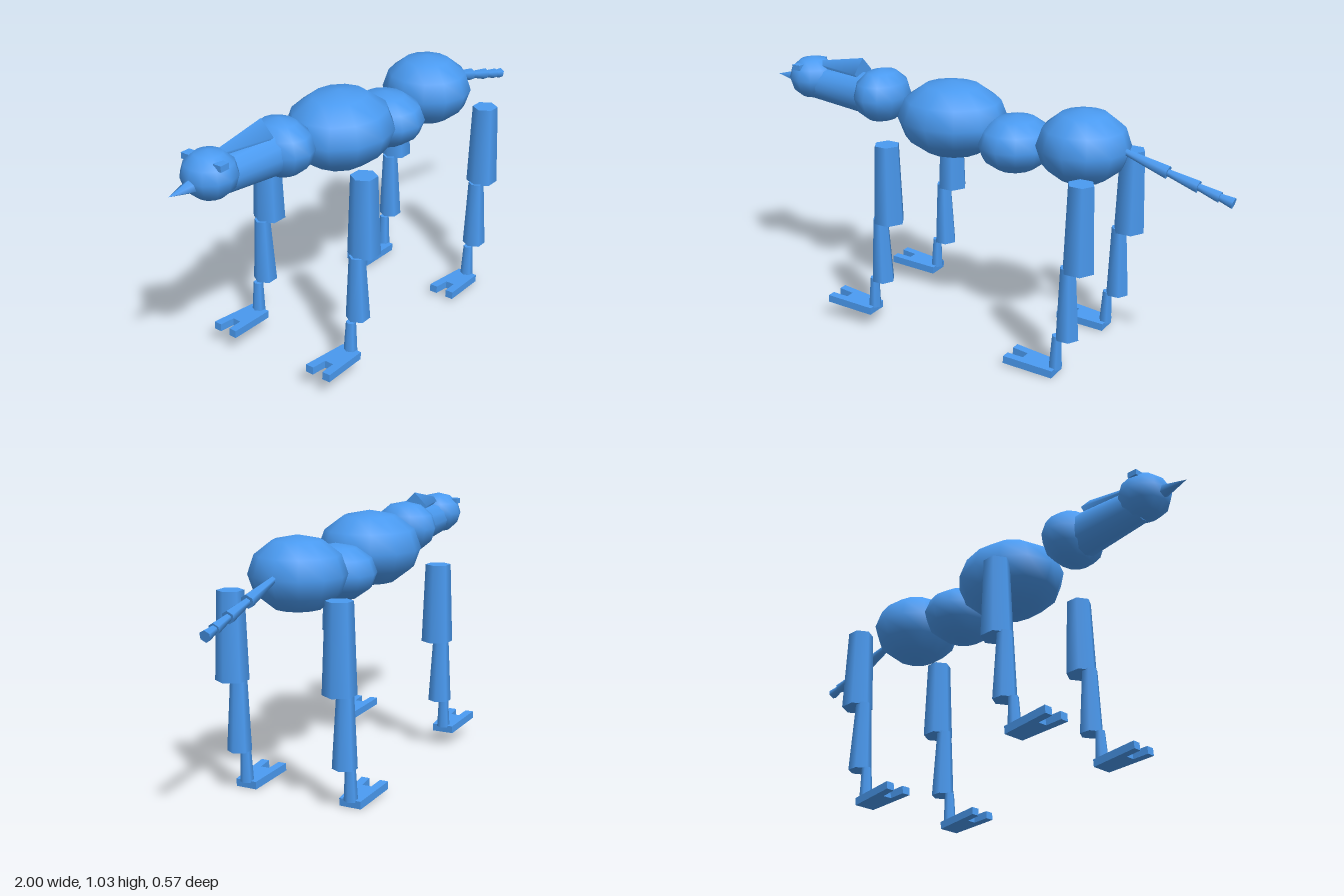
import * as THREE from 'three';

const material = new THREE.MeshStandardMaterial({ color: 0x4a9af0, side: THREE.DoubleSide });

function add(parent, name, geometry, x = 0, y = 0, z = 0) {
  const mesh = new THREE.Mesh(geometry, material);
  mesh.name = name;
  mesh.position.set(x, y, z);
  parent.add(mesh);
  return mesh;
}

// Low-poly ellipsoid given its centre and three radii
function ball(parent, name, x, y, rx, ry, rz) {
  add(parent, name, new THREE.SphereGeometry(1, 12, 6), x, y).scale.set(rx, ry, rz);
}

// Tapered tube from point a (radius ra) to point b (radius rb), both [x, y] at depth z
function taper(parent, name, a, b, ra, rb, z = 0, sides = 6, turn = Math.PI / 2) {
  const dx = b[0] - a[0], dy = b[1] - a[1];
  const geometry = new THREE.CylinderGeometry(rb, ra, Math.hypot(dx, dy), sides);
  geometry.rotateY(turn);
  const mesh = add(parent, name, geometry, (a[0] + b[0]) / 2, (a[1] + b[1]) / 2, z);
  mesh.rotation.z = Math.atan2(dy, dx) - Math.PI / 2;
  return mesh;
}

// Flat two-toed foot, heel at the origin, toes towards -x
function footGeometry() {
  const outline = [[0, -0.043], [0, 0.043], [-0.2, 0.055], [-0.2, 0.022],
    [-0.135, 0.018], [-0.135, -0.018], [-0.2, -0.022], [-0.2, -0.055]];
  const shape = new THREE.Shape(outline.map(([x, z]) => new THREE.Vector2(x, z)));
  const geometry = new THREE.ExtrudeGeometry(shape, { depth: 0.03, bevelEnabled: false });
  return geometry.rotateX(-Math.PI / 2);
}

function leg(name, x, z, top, knee, ankle, sole) {
  const group = new THREE.Group();
  group.name = name;
  taper(group, 'upperLeg', [x, top], [x, knee], 0.05, 0.062, z);
  taper(group, 'lowerLeg', [x - 0.041, knee + 0.005], [x - 0.037, ankle], 0.031, 0.046, z);
  taper(group, 'ankle', [x - 0.079, ankle], [x - 0.083, sole + 0.025], 0.019, 0.026, z);
  add(group, 'foot', footGeometry(), x - 0.077, sole, z).rotation.z = -0.075;
  return group;
}

export function createModel() {
  const model = new THREE.Group();
  model.name = 'animal';

  // Body
  ball(model, 'chest', -0.14, 0.85, 0.22, 0.15, 0.2);
  ball(model, 'belly', 0.14, 0.795, 0.145, 0.11, 0.16);
  ball(model, 'hips', 0.42, 0.83, 0.175, 0.14, 0.18);
  ball(model, 'shoulder', -0.47, 0.895, 0.108, 0.108, 0.135);

  // Neck and head
  taper(model, 'neck', [-0.8, 0.9], [-0.52, 0.89], 0.065, 0.085, 0, 12);
  ball(model, 'head', -0.815, 0.922, 0.098, 0.087, 0.1);
  taper(model, 'beak', [-0.885, 0.91], [-1, 0.91], 0.03, 0, 0, 6);
  taper(model, 'crest', [-0.84, 0.98], [-0.563, 0.975], 0.003, 0.056, 0, 4);
  for (const s of [-1, 1]) {
    add(model, 'eye', new THREE.BoxGeometry(0.038, 0.022, 0.034), -0.832, 0.975, s * 0.072);
  }

  // Tail segments flare towards the tip
  const tail = [[0.58, 0.836], [0.75, 0.786], [0.865, 0.754], [0.945, 0.731], [0.995, 0.718]];
  const start = [0.012, 0.014, 0.014, 0.015], end = [0.026, 0.024, 0.022, 0.022];
  for (let i = 0; i < 4; i++) {
    taper(model, 'tailSegment', tail[i], tail[i + 1], start[i], end[i]);
  }

  // Legs
  for (const s of [-1, 1]) {
    model.add(leg('foreLeg', -0.292, s * 0.23, 0.78, 0.467, 0.21, 0.06));
    model.add(leg('hindLeg', 0.52, s * 0.22, 0.77, 0.44, 0.162, 0.002));
  }
  return model;
}
